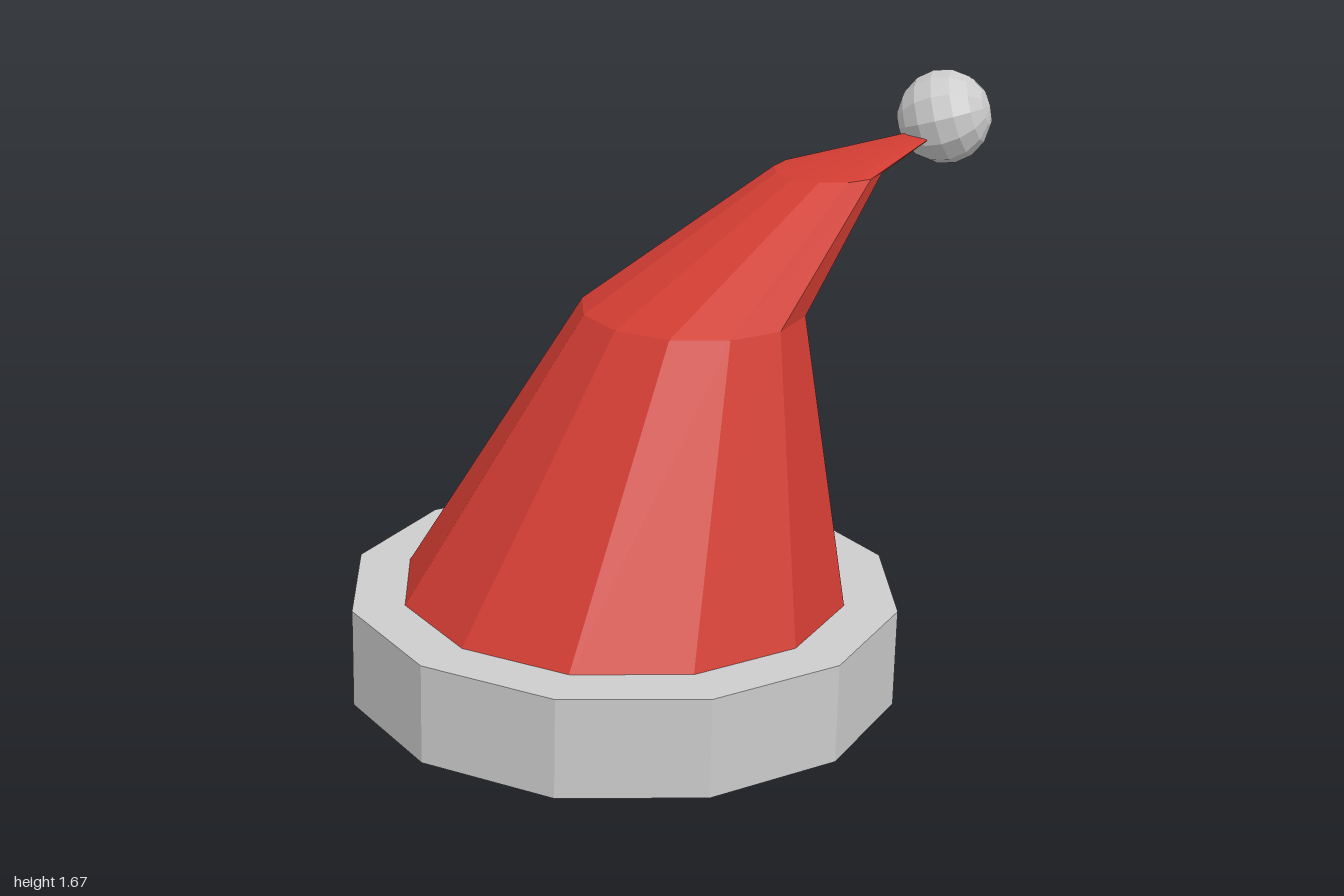
import * as THREE from 'three';

const SIDES = 12;
const START = THREE.MathUtils.degToRad(10); // turn of every twelve-sided ring
const TILT = -0.022; // the whole hat leans slightly to its left

const mat = (color) => new THREE.MeshStandardMaterial({ color, flatShading: true });

// Closed twelve-sided drum, tilted with the hat
function drum(name, radius, height, y, material) {
  const geo = new THREE.CylinderGeometry(radius, radius, height, SIDES, 1, false, START);
  const mesh = new THREE.Mesh(geo, material);
  mesh.name = name;
  mesh.position.set(0, y, 0.21);
  mesh.rotation.z = TILT;
  return mesh;
}

// Bent cone: each row of an open cylinder is moved to its own centre and radius
function bentCone(rings) {
  const rows = rings.length - 1;
  const geo = new THREE.CylinderGeometry(1, 1, 1, SIDES, rows, true, START);
  const pos = geo.attributes.position;
  for (let i = 0; i < pos.count; i++) {
    const [cx, cy, cz, r] = rings[Math.round((pos.getY(i) + 0.5) * rows)];
    const x = pos.getX(i) * r;
    pos.setXYZ(i, cx + x, cy + x * TILT, cz + pos.getZ(i) * r);
  }
  geo.computeVertexNormals();
  return geo;
}

export function createModel() {
  const hat = new THREE.Group();
  hat.name = 'hat';
  const white = mat(0xcccccc);

  // Thick band and the dark opening beneath it
  hat.add(drum('brim', 0.8, 0.29, 0.173, white));
  hat.add(drum('opening', 0.5, 0.02, 0.023, mat(0x050505)));

  // Floppy cone, from the band to the tip (centre x, y, z, radius)
  const cone = new THREE.Mesh(bentCone([
    [0, 0.31, 0.21, 0.65],
    [0.14, 1.117, 0.02, 0.325],
    [0.385, 1.44, -0.43, 0.16],
    [0.56, 1.487, -0.765, 0.045],
    [0.56, 1.487, -0.765, 0],
  ]), mat(0xd03c32));
  cone.name = 'cone';
  hat.add(cone);

  // Ball on the tip, its poles lying sideways
  const pompom = new THREE.Mesh(new THREE.SphereGeometry(0.144, 12, 8), white);
  pompom.name = 'pompom';
  pompom.position.set(0.612, 1.53, -0.857);
  pompom.quaternion.setFromUnitVectors(
    new THREE.Vector3(0, 1, 0), new THREE.Vector3(0.95, 0.28, -0.1).normalize());
  hat.add(pompom);

  return hat;
}
